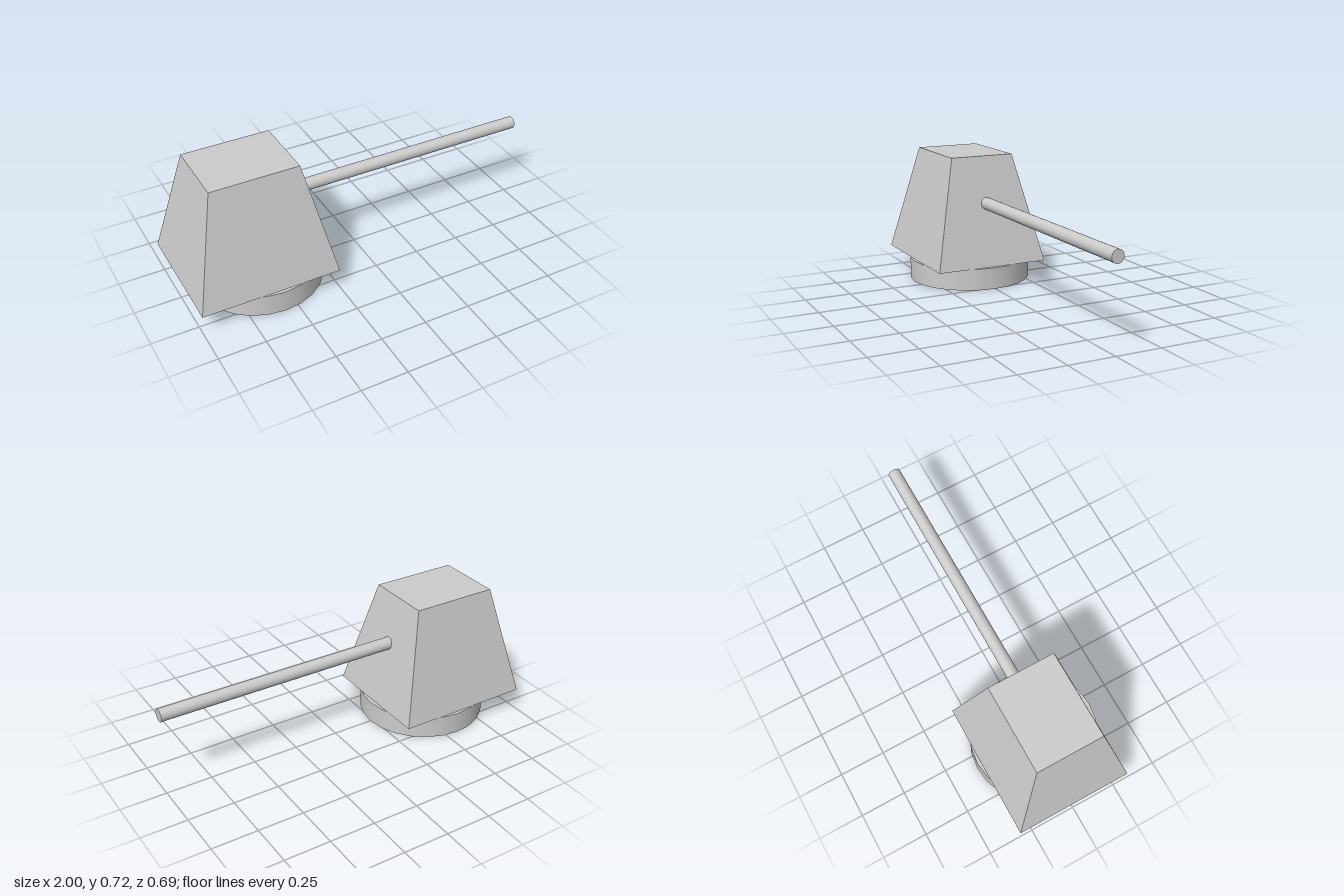
import * as THREE from 'three';

export function createModel() {
  const group = new THREE.Group();
  const material = new THREE.MeshStandardMaterial({ color: 0xcccccc });

  const add = (name, geometry, x, y, z = 0) => {
    const mesh = new THREE.Mesh(geometry, material);
    mesh.name = name;
    mesh.position.set(x, y, z);
    group.add(mesh);
    return mesh;
  };

  // Round turntable under the turret
  add('turretBase', new THREE.CylinderGeometry(0.343, 0.343, 0.12, 24), -0.572, 0.06);

  // Tapered turret body: a box with its top corners drawn in
  const body = new THREE.BoxGeometry(0.746, 0.603, 0.646);
  const p = body.attributes.position;
  for (let i = 0; i < p.count; i++) {
    if (p.getY(i) > 0) {
      p.setX(i, Math.sign(p.getX(i)) * 0.236);
      p.setZ(i, Math.sign(p.getZ(i)) * 0.183);
    }
  }
  body.computeVertexNormals();
  add('turretBody', body, -0.627, 0.4215);

  // Long gun barrel pointing along +x, its root sunk into the body
  const start = -0.36, end = 1;
  const barrel = new THREE.CylinderGeometry(0.034, 0.034, end - start, 24).rotateZ(-Math.PI / 2);
  add('barrel', barrel, (start + end) / 2, 0.465);

  return group;
}
